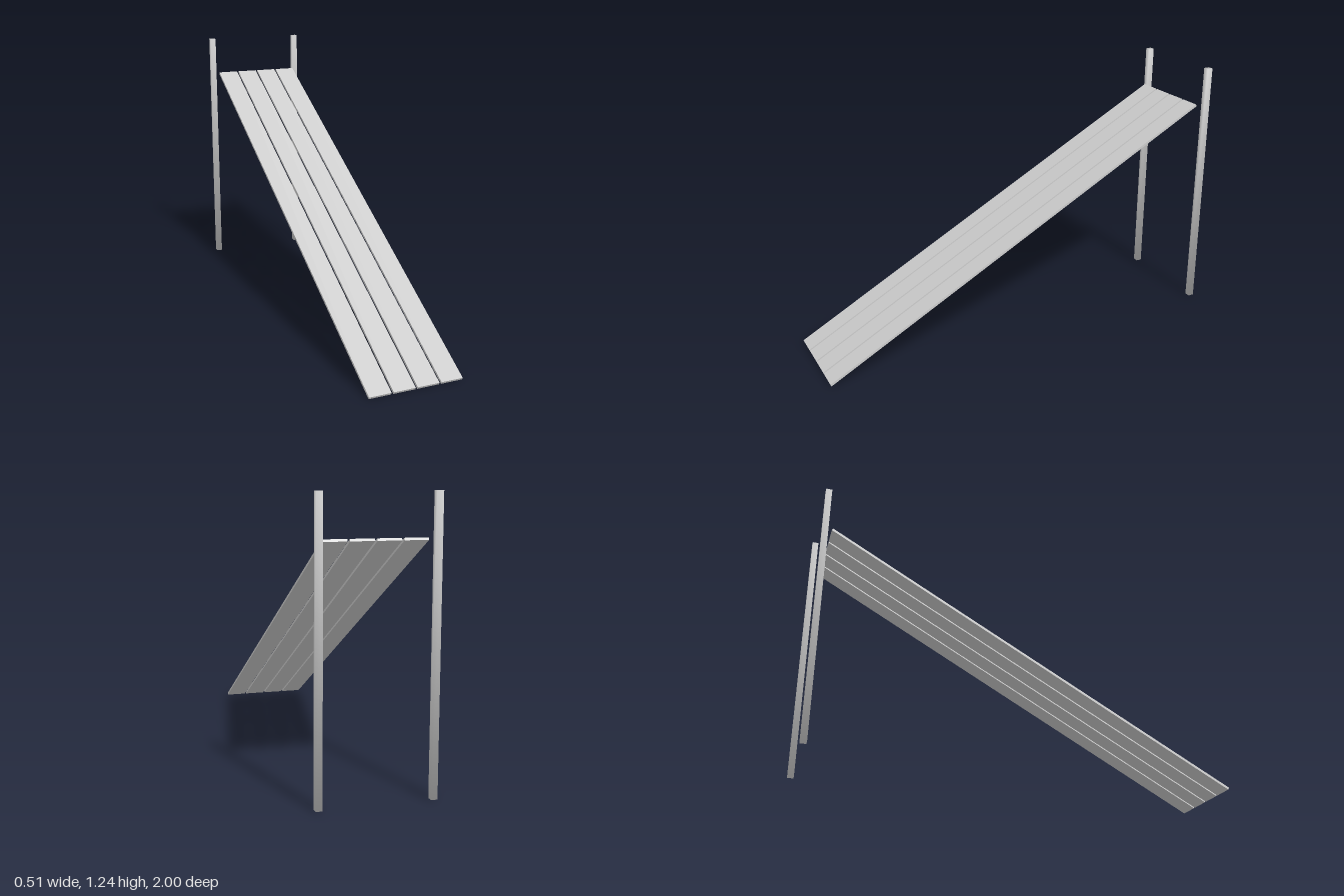
import * as THREE from 'three';

const POST = { size: 0.028, height: 1.24, x: 0.2425, z: -0.986 };
const PLANK = { width: 0.102, thickness: 0.011, length: 2.211, pitch: 0.1115, count: 4 };
const SLOPE = THREE.MathUtils.degToRad(28.24);

// Box whose corners share averaged normals, for a softly shaded post
function softBox(w, h, d) {
  const geometry = new THREE.BoxGeometry(w, h, d);
  const position = geometry.attributes.position;
  const n = new THREE.Vector3();
  for (let i = 0; i < position.count; i++) {
    n.fromBufferAttribute(position, i);
    n.set(Math.sign(n.x), Math.sign(n.y), Math.sign(n.z)).normalize();
    geometry.attributes.normal.setXYZ(i, n.x, n.y, n.z);
  }
  return geometry;
}

export function createModel() {
  const model = new THREE.Group();
  model.name = 'plankRamp';
  const material = new THREE.MeshStandardMaterial({ color: 0xcccccc });

  // Upright posts either side of the top end
  const postGeometry = softBox(POST.size, POST.height, POST.size);
  for (const side of [1, -1]) {
    const post = new THREE.Mesh(postGeometry, material);
    post.name = side > 0 ? 'leftPost' : 'rightPost';
    post.position.set(side * POST.x, POST.height / 2, POST.z);
    model.add(post);
  }

  // Sloping deck of parallel planks, rising towards the posts
  const deck = new THREE.Group();
  deck.name = 'deck';
  deck.position.set(0, 0.528, 0.0235);
  deck.rotation.x = SLOPE;
  const plankGeometry = new THREE.BoxGeometry(PLANK.width, PLANK.thickness, PLANK.length);
  for (let i = 0; i < PLANK.count; i++) {
    const plank = new THREE.Mesh(plankGeometry, material);
    plank.name = `plank${i + 1}`;
    plank.position.x = (i - (PLANK.count - 1) / 2) * PLANK.pitch;
    deck.add(plank);
  }
  model.add(deck);

  return model;
}
